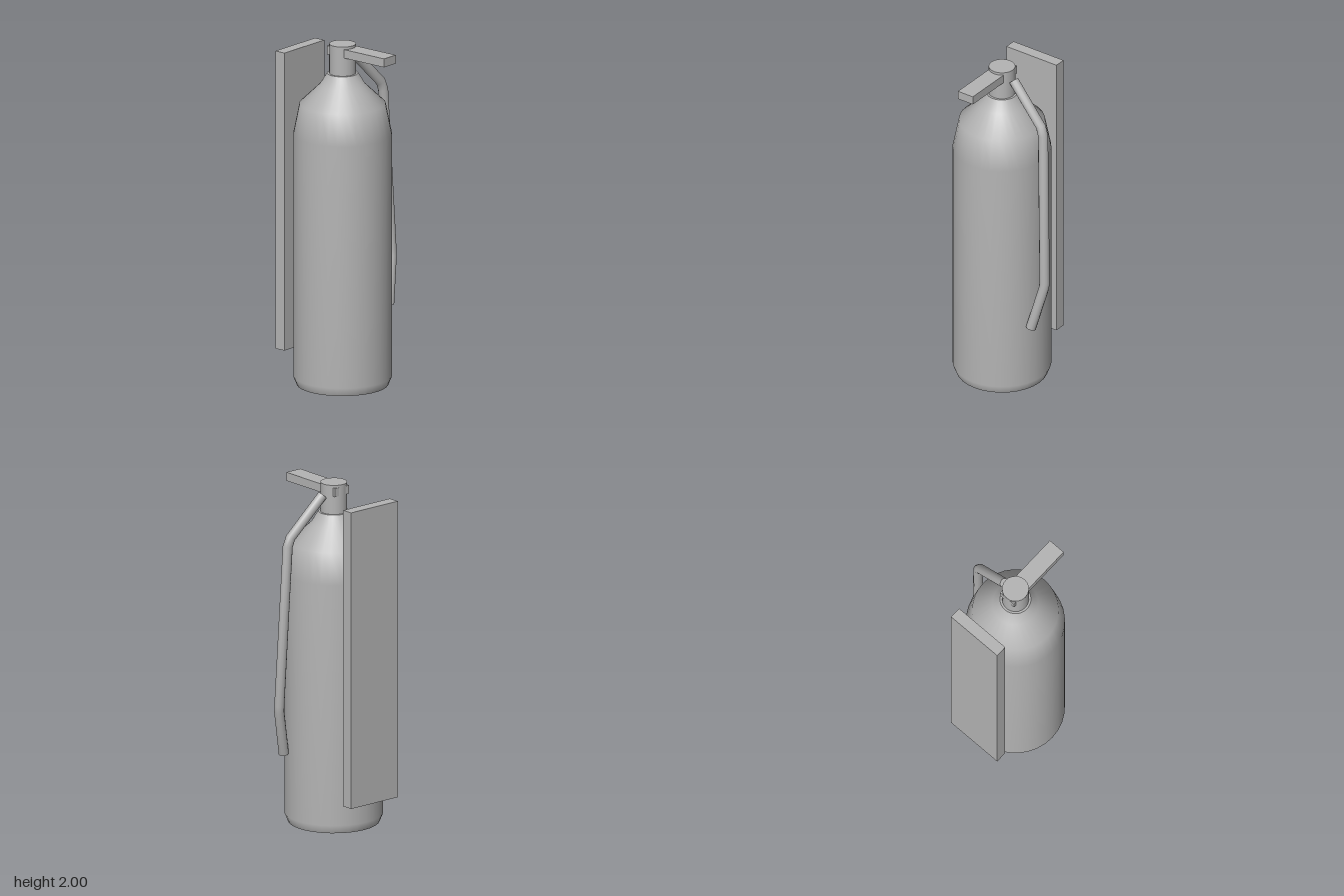
import * as THREE from 'three';

const grey = new THREE.MeshStandardMaterial({ color: 0xb4b4b4 });
grey.name = 'plain grey';

const AXIS_X = -0.052; // centre line of the cylinder and plate

export function createModel() {
  const model = new THREE.Group();
  model.name = 'fireExtinguisher';

  const add = (name, geometry, x = 0, y = 0, z = 0) => {
    const mesh = new THREE.Mesh(geometry, grey);
    mesh.name = name;
    mesh.position.set(x, y, z);
    model.add(mesh);
  };
  const lathe = (points) =>
    new THREE.LatheGeometry(points.map(([r, y]) => new THREE.Vector2(r, y)), 32);

  // Tank: smooth wall, with separate flat ends to keep their edges sharp
  add('tankWall', lathe([
    [0.26, 0], [0.28, 0.05], [0.28, 1.47], [0.244, 1.65], [0.13, 1.76], [0.088, 1.828],
  ]), AXIS_X);
  add('tankBase', lathe([[0, 0], [0.26, 0]]), AXIS_X);
  add('tankCollar', lathe([[0.088, 1.828], [0, 1.828]]), AXIS_X);

  // Valve neck and the lever through it
  add('valveNeck', new THREE.CylinderGeometry(0.076, 0.076, 0.18, 20), AXIS_X, 1.91, 0);
  add('lever', new THREE.BoxGeometry(0.104, 0.05, 0.422), AXIS_X, 1.96, 0.139);

  // Wall plate behind the tank
  add('wallPlate', new THREE.BoxGeometry(0.35, 1.75, 0.068), AXIS_X, 1.055, -0.316);

  // Bent hose down the left side
  add('hose', hoseGeometry([
    [0.032, 1.935, 0.002], [0.244, 1.72, 0.032], [0.262, 1.67, 0.036],
    [0.297, 0.73, 0.068], [0.294, 0.69, 0.072], [0.23, 0.425, 0.107],
  ], 0.029));

  return model;
}

// Capped cylinder whose rows of vertices follow a path
function hoseGeometry(path, radius) {
  const points = path.map((p) => new THREE.Vector3(...p));
  const last = points.length - 1;
  const up = new THREE.Vector3(0, 1, 0);
  const turns = points.map((p, i) => {
    const before = i ? p.clone().sub(points[i - 1]).normalize() : new THREE.Vector3();
    const after = i < last ? points[i + 1].clone().sub(p).normalize() : new THREE.Vector3();
    const tangent = before.add(after).normalize().negate(); // runs from bottom to top
    return new THREE.Quaternion().setFromUnitVectors(up, tangent);
  });

  const geometry = new THREE.CylinderGeometry(radius, radius, 1, 12, last);
  const { position, normal } = geometry.attributes;
  const v = new THREE.Vector3();
  for (let i = 0; i < position.count; i++) {
    const row = Math.round((0.5 - position.getY(i)) * last);
    v.fromBufferAttribute(position, i).setY(0).applyQuaternion(turns[row]).add(points[row]);
    position.setXYZ(i, v.x, v.y, v.z);
    v.fromBufferAttribute(normal, i).applyQuaternion(turns[row]);
    normal.setXYZ(i, v.x, v.y, v.z);
  }
  return geometry;
}
